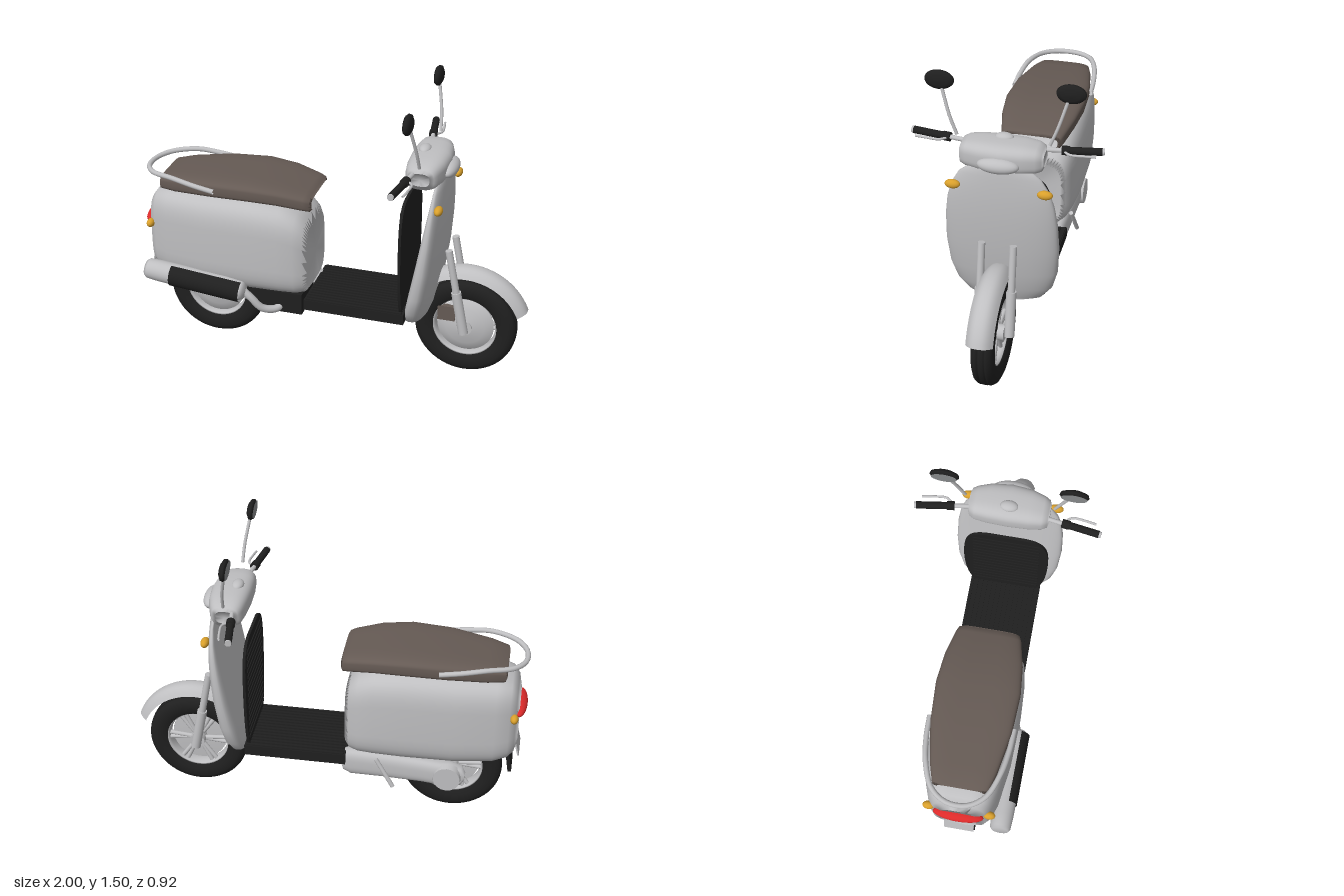
import * as THREE from 'three';

const mat = (name, color, side = THREE.FrontSide) => {
  const m = new THREE.MeshStandardMaterial({ color, side });
  m.name = name;
  return m;
};
const V = (x, y, z) => new THREE.Vector3(x, y, z);

export function createModel() {
  const silver = mat('silver', 0xbfbfc1, THREE.DoubleSide);
  const black = mat('black', 0x1f1f1f, THREE.DoubleSide);
  const brown = mat('seat brown', 0x655a54);
  const amber = mat('amber', 0xd9a02c);
  const red = mat('red', 0xdc2a2a);
  const glass = mat('mirror glass', 0x8a8c8e);
  const root = new THREE.Group();
  root.name = 'scooter';

  const add = (name, geo, material, pos = [0, 0, 0], parent = root) => {
    const m = new THREE.Mesh(geo, material);
    m.name = name;
    m.position.set(...pos);
    parent.add(m);
    return m;
  };
  const box = (name, size, pos, material, parent) =>
    add(name, new THREE.BoxGeometry(...size), material, pos, parent);
  const ball = (name, radii, pos, material) => {
    const m = add(name, new THREE.SphereGeometry(1, 28, 18), material, pos);
    m.scale.set(...radii);
    return m;
  };
  // turn a part built along y so that it runs from a to b
  const aim = (mesh, a, b) => {
    mesh.quaternion.setFromUnitVectors(V(0, 1, 0), b.clone().sub(a).normalize());
    return mesh;
  };
  const rod = (name, a, b, r, material, parent = root, r2 = r) => {
    const mid = a.clone().lerp(b, 0.5);
    return aim(add(name, new THREE.CylinderGeometry(r2, r, a.distanceTo(b), 18), material, mid.toArray(), parent), a, b);
  };
  const tube = (name, pts, r, material) =>
    add(name, new THREE.TubeGeometry(new THREE.CatmullRomCurve3(pts), 40, r, 10), material);
  const lathe = (pts) =>
    new THREE.LatheGeometry(pts.map(p => new THREE.Vector2(...p)), 56);

  // skin over superellipse cross-sections; place() sets a ring point
  const loft = (stations, e, place, n = 48) => {
    const pos = [], idx = [];
    const pw = v => Math.sign(v) * Math.abs(v) ** (2 / e);
    const ring = s => {
      for (let j = 0; j < n; j++) {
        const t = j / n * Math.PI * 2;
        pos.push(...place(s, pw(Math.cos(t)), pw(Math.sin(t))));
      }
    };
    stations.forEach(ring);
    const last = stations.length - 1;
    for (let i = 0; i < last; i++) for (let j = 0; j < n; j++) {
      const k = (j + 1) % n, a = i * n + j, b = a + n, c = i * n + k, d = c + n;
      idx.push(a, b, c, b, d, c);
    }
    [0, last].forEach(i => {
      const centre = pos.length / 3;
      pos.push(...place(stations[i], 0, 0));
      for (let j = 0; j < n; j++) {
        const a = i * n + j, b = i * n + (j + 1) % n;
        idx.push(centre, ...(i ? [a, b] : [b, a]));
      }
    });
    const g = new THREE.BufferGeometry();
    g.setAttribute('position', new THREE.Float32BufferAttribute(pos, 3));
    g.setIndex(idx);
    g.computeVertexNormals();
    return g;
  };
  const alongX = ([x, lo, hi, w], c, s) => [x, (lo + hi) / 2 + s * (hi - lo) / 2, c * w];

  // rear body: x, bottom, top, half width
  add('rearBody', loft([
    [-0.965, .46, .72, .09], [-0.95, .41, .79, .13], [-0.92, .38, .83, .155], [-0.85, .36, .845, .18],
    [-0.65, .35, .855, .207], [-0.4, .35, .86, .215], [-0.25, .35, .845, .207], [-0.17, .35, .81, .192],
    [-0.125, .36, .77, .172], [-0.105, .39, .73, .15]], 4, alongX), silver);
  add('seat', loft([
    [-0.893, .865, .905, .11], [-0.885, .845, .922, .135], [-0.8, .845, .94, .16], [-0.6, .86, .962, .197],
    [-0.4, .867, .97, .207], [-0.25, .86, .957, .192], [-0.12, .838, .93, .163], [-0.092, .833, .92, .152],
    [-0.083, .845, .905, .135]], 4, alongX), brown);
  tube('grabRail', [V(-.57, .915, .205), V(-.68, .932, .2), V(-.8, .948, .18), V(-.92, .942, .13), V(-.975, .936, .05),
    V(-.975, .936, -.05), V(-.92, .942, -.13), V(-.8, .948, -.18), V(-.68, .932, -.2), V(-.57, .915, -.205)], .013, silver);

  // leg shield: y, back x, front x, half width
  add('legShield', loft([
    [.312, .425, .495, .13], [.33, .408, .505, .185], [.4, .412, .53, .236], [.5, .432, .55, .264],
    [.65, .463, .57, .275], [.8, .492, .58, .27], [.9, .512, .582, .257], [.98, .528, .58, .235],
    [1.05, .54, .575, .195], [1.09, .545, .57, .145], [1.115, .55, .565, .07]], 2.8,
    ([y, b, f, w], c, s) => [(b + f) / 2 - s * (f - b) / 2 - .015 * c * c, y, c * w]), silver);

  // ribbed pad behind the shield
  const pad = new THREE.Shape();
  pad.moveTo(-.15, .34);
  pad.lineTo(.15, .34);
  pad.bezierCurveTo(.21, .42, .225, .62, .215, .8);
  pad.bezierCurveTo(.205, .93, .16, .968, .08, .968);
  pad.lineTo(-.08, .968);
  pad.bezierCurveTo(-.16, .968, -.205, .93, -.215, .8);
  pad.bezierCurveTo(-.225, .62, -.21, .42, -.15, .34);
  const padGeo = new THREE.ExtrudeGeometry(pad, { depth: .014, bevelEnabled: false, curveSegments: 16 });
  add('shieldPad', padGeo.rotateY(Math.PI / 2), black, [.38, 0, 0]);
  for (let i = 0; i < 15; i++) box('padRib', [.006, .014, .34], [.378, .41 + i * .036, 0], black);

  // floor with ridges
  box('floor', [.52, .056, .37], [.147, .333, 0], black);
  for (let i = 0; i < 15; i++) box('floorRidge', [.5, .01, .012], [.147, .364, -.175 + i * .025], black);

  // handlebar head: z, back x, front x, bottom, top
  const head = [[.2, .43, .52, 1.095, 1.16], [.192, .41, .54, 1.075, 1.18], [.165, .395, .555, 1.066, 1.193],
    [.1, .386, .575, 1.062, 1.203], [0, .382, .585, 1.06, 1.206]];
  const mirrored = head.slice(0, 4).map(([z, ...r]) => [-z, ...r]);
  add('handlebarHead', loft([...mirrored, ...head.slice().reverse()], 3,
    ([z, b, f, lo, hi], c, s) => [(b + f) / 2 + c * (f - b) / 2, (lo + hi) / 2 - s * (hi - lo) / 2, z]), silver);
  ball('headlight', [.042, .038, .1], [.578, 1.121, 0], silver);
  ball('speedometer', [.03, .022, .045], [.45, 1.2, 0], silver);

  for (const s of [1, -1]) {
    // handlebar, grip and lever
    const at = (z, y = 1.152) => V(.437 - (z - .2) * .15, y, s * z);
    rod('handlebar', at(.15), at(.3), .011, silver);
    rod('switchBlock', at(.265), at(.302), .022, black);
    rod('grip', at(.295), at(.45), .018, black);
    rod('gripEnd', at(.445), at(.46), .016, silver);
    tube('brakeLever', [V(.44, 1.153, s * .28), V(.462, 1.153, s * .31), V(.458, 1.152, s * .38), V(.45, 1.15, s * .43)], .006, silver);
    // mirrors
    tube('mirrorStem', [V(.475, 1.2, s * .22), V(.468, 1.29, s * .255), V(.445, 1.42, s * .295)], .008, silver);
    const mirror = new THREE.Group();
    mirror.name = 'mirror';
    mirror.position.set(.438, 1.455, s * .308);
    mirror.rotation.z = .06;
    root.add(mirror);
    const shell = add('mirrorShell', lathe([[0, -.014], [.85, -.014], [1, -.004], [.95, .008], [.6, .018], [0, .02]]), black, [0, 0, 0], mirror);
    shell.rotation.z = -Math.PI / 2;
    shell.scale.set(.047, 1, .07);
    const pane = add('mirrorGlass', new THREE.CircleGeometry(1, 32), glass, [-.016, 0, 0], mirror);
    pane.rotation.y = -Math.PI / 2;
    pane.scale.set(.062, .041, 1);
    // turn signals
    ball('frontSignal', [.021, .022, .037], [.573, .99, s * .22], amber);
    ball('rearSignal', [.02, .022, .03], [-.943, .66, s * .15], amber);
    // front fork
    const top = V(.602, .705, s * .077), low = V(.692, .245, s * .077);
    rod('forkTube', top, low, .018, silver);
    rod('forkLeg', top.clone().lerp(low, .5), low, .025, silver);
  }
  ball('tailLight', [.036, .028, .125], [-.964, .662, 0], red);

  // wheels
  const tread = [[.163, -.04], [.19, -.054], [.225, -.055], [.247, -.045], [.257, -.03], [.259, -.022], [.25, -.019],
    [.25, -.013], [.26, -.01]];
  const tirePts = [...tread, ...tread.slice().reverse().map(([r, y]) => [r, -y])];
  const wheel = (name, x) => {
    const g = new THREE.Group();
    g.name = name;
    g.position.set(x, .26, 0);
    root.add(g);
    add('tire', lathe(tirePts).rotateX(Math.PI / 2), black, [0, 0, 0], g);
    add('rim', new THREE.TorusGeometry(.162, .011, 10, 56).scale(1, 1, 3.4), silver, [0, 0, 0], g);
    rod('hub', V(0, 0, -.055), V(0, 0, .055), .04, silver, g);
    rod('axle', V(0, 0, -.085), V(0, 0, .085), .013, silver, g);
    for (let i = 0; i < 6; i++) for (const d of [-.09, .09]) {
      const a = i * Math.PI / 3 + d;
      rod('spoke', V(Math.cos(a) * .03, Math.sin(a) * .03, -.015), V(Math.cos(a) * .16, Math.sin(a) * .16, -.015), .011, silver, g);
    }
    add('drumCover', lathe([[0, .005], [.143, .005], [.145, .015], [.1, .032], [.04, .047], [0, .05]]).rotateX(Math.PI / 2), silver, [0, 0, 0], g);
    box('caliper', [.09, .08, .03], [-.095, .065, .03], brown, g);
  };
  wheel('frontWheel', .69);
  wheel('rearWheel', -.64);

  // front fender: arched strip with a crowned section
  const fender = new THREE.PlaneGeometry(1, 2, 30, 12);
  const fp = fender.attributes.position;
  for (let i = 0; i < fp.count; i++) {
    const a = THREE.MathUtils.degToRad(73 - fp.getX(i) * 102), v = fp.getY(i);
    const r = .332 - .045 * Math.abs(v) ** 2.6;
    fp.setXYZ(i, .69 + Math.cos(a) * r, .26 + Math.sin(a) * r, -v * .066);
  }
  fender.computeVertexNormals();
  add('frontFender', fender, silver);

  // engine, swing arm cover and stand
  box('engineBlock', [.28, .115, .22], [-.285, .287, .01], black);
  add('swingArmCover', loft([
    [-.72, .25, .28, .02], [-.7, .215, .32, .035], [-.64, .2, .335, .043], [-.5, .215, .35, .045],
    [-.3, .222, .365, .046], [-.14, .222, .37, .045], [-.1, .24, .36, .038], [-.088, .27, .33, .02]], 2.8,
    ([x, lo, hi, w], c, s) => [x, (lo + hi) / 2 + s * (hi - lo) / 2, -.125 + c * w]), silver);
  rod('swingArmCap', V(-.63, .268, -.14), V(-.63, .268, -.18), .075, silver, root, .068);
  rod('sideStand', V(-.27, .35, -.175), V(-.36, .2, -.19), .011, silver);

  // exhaust
  const e0 = V(-.957, .422, .205), e1 = V(-.415, .372, .208);
  aim(add('muffler', lathe([[0, 0], [.042, 0], [.052, .014], [.056, .08], [.057, .44], [.05, .52], [.04, .538], [0, .545]]), silver, e0.toArray()), e0, e1);
  aim(add('heatShield', new THREE.CylinderGeometry(.062, .062, .38, 24, 1, true, -1.25, 2.5), black,
    e0.clone().lerp(e1, .61).toArray()), e0, e1);
  tube('exhaustPipe', [V(-.43, .372, .2), V(-.39, .33, .195), V(-.34, .27, .175), V(-.28, .25, .13), V(-.25, .27, .08)], .02, silver);

  // rear plate and mud flap
  box('rearPlate', [.008, .09, .15], [-.965, .43, 0], silver).rotation.z = -.25;
  box('mudFlap', [.018, .13, .15], [-.93, .345, 0], black).rotation.z = -.15;
  return root;
}
